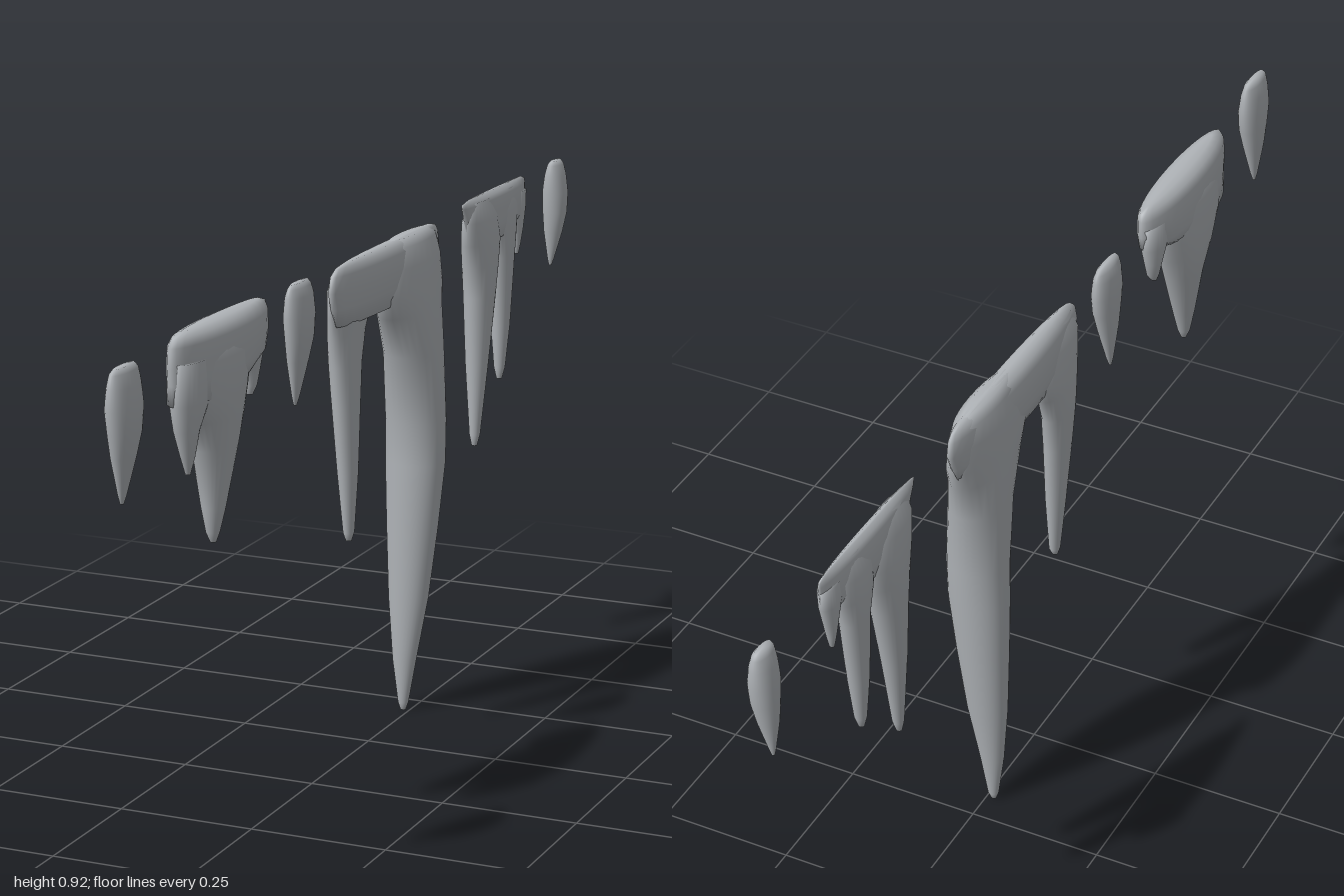
import * as THREE from 'three';

const ice = new THREE.MeshStandardMaterial({ color: 0xb0b4b8 });
ice.name = 'ice grey';
const SIDES = 14;

// Closed loft through oval rings, bottom to top; each ring is [y, zMin, zMax, xMin, xMax]
function loft(name, rings) {
  const pos = [], index = [], last = rings.length - 1;
  for (const [y, z0, z1, x0, x1] of rings) {
    for (let i = 0; i < SIDES * 2; i++) {
      const a = (i / SIDES) * Math.PI;
      pos.push((x0 + x1) / 2 + ((x1 - x0) / 2) * Math.cos(a), y, (z0 + z1) / 2 + ((z1 - z0) / 2) * Math.sin(a));
    }
  }
  const n = SIDES * 2;
  for (const j of [0, last]) {
    const [y, z0, z1, x0, x1] = rings[j];
    pos.push((x0 + x1) / 2, y, (z0 + z1) / 2);
  }
  const low = n * rings.length, high = low + 1;
  for (let i = 0; i < n; i++) {
    const k = (i + 1) % n;
    for (let j = 0; j < last; j++) {
      const a = j * n + i, b = j * n + k;
      index.push(a, a + n, b, b, a + n, b + n);
    }
    index.push(low, i, k, high, last * n + k, last * n + i);
  }
  const g = new THREE.BufferGeometry();
  g.setAttribute('position', new THREE.Float32BufferAttribute(pos, 3));
  g.setIndex(index);
  g.computeVertexNormals();
  const mesh = new THREE.Mesh(g, ice);
  mesh.name = name;
  return mesh;
}

// Short single icicle: z range, tip z, x centre and half thickness
function smallIcicle(name, z0, z1, tipZ, x, r, tipY, topY) {
  const mix = (t) => [tipZ + (z0 - tipZ) * t, tipZ + (z1 - tipZ) * t];
  const ring = (y, t, s, dx = 0) => [y, ...mix(t), x + dx - r * s, x + dx + r * s];
  return loft(name, [
    ring(tipY, 0.07, 0.12, -0.008), ring(tipY + 0.015, 0.18, 0.28, -0.007), ring(0.77, 0.6, 0.75, -0.003),
    ring(0.81, 0.82, 0.97), ring(0.85, 1, 1), ring(0.885, 0.98, 0.8), ring(topY - 0.008, 0.9, 0.55), ring(topY, 0.72, 0.3),
  ]);
}

function cluster(name, parts) {
  const g = new THREE.Group();
  g.name = name;
  for (const [part, rings] of Object.entries(parts)) g.add(loft(part, rings));
  return g;
}

export function createModel() {
  const model = new THREE.Group();
  model.name = 'icicles';

  // Single icicles
  model.add(
    smallIcicle('frontIcicle', 0.905, 1.0, 0.95, 0.005, 0.025, 0.692, 0.915),
    smallIcicle('middleIcicle', 0.21, 0.302, 0.258, -0.017, 0.023, 0.69, 0.908),
    smallIcicle('backIcicle', -1.0, -0.938, -0.967, -0.016, 0.025, 0.7, 0.914),
  );

  // Large centre cluster
  model.add(cluster('centreCluster', {
    root: [
      [0.797, -0.31, 0.112, -0.034, 0.01], [0.83, -0.33, 0.127, -0.042, 0.018], [0.862, -0.342, 0.14, -0.042, 0.02],
      [0.89, -0.338, 0.133, -0.038, 0.016], [0.902, -0.328, 0.118, -0.028, 0.008], [0.908, -0.3, 0.08, -0.018, 0],
    ],
    longIcicle: [
      [0, -0.196, -0.188, -0.018, -0.008], [0.015, -0.203, -0.183, -0.023, -0.003], [0.1, -0.213, -0.174, -0.034, 0.012],
      [0.22, -0.232, -0.17, -0.045, 0.032], [0.36, -0.248, -0.166, -0.051, 0.048], [0.48, -0.26, -0.164, -0.055, 0.059],
      [0.56, -0.266, -0.162, -0.055, 0.059], [0.69, -0.278, -0.135, -0.053, 0.053], [0.77, -0.302, -0.09, -0.05, 0.043],
      [0.81, -0.318, -0.06, -0.047, 0.038], [0.86, -0.32, -0.07, -0.044, 0.03], [0.895, -0.31, -0.09, -0.036, 0.02],
      [0.908, -0.28, -0.12, -0.024, 0.006],
    ],
    shortIcicle: [
      [0.395, 0.05, 0.06, -0.02, -0.009], [0.41, 0.041, 0.066, -0.025, -0.005], [0.52, 0.031, 0.079, -0.034, 0.002],
      [0.645, 0.018, 0.091, -0.043, 0.004], [0.72, 0.006, 0.098, -0.048, 0.004], [0.775, -0.014, 0.107, -0.048, 0.004],
      [0.81, -0.04, 0.117, -0.045, 0.004], [0.86, -0.02, 0.125, -0.04, 0.004], [0.898, 0, 0.11, -0.026, 0],
    ],
  }));

  // Front cluster, one broad spike between two stubs
  model.add(cluster('frontCluster', {
    root: [
      [0.8, 0.505, 0.752, -0.05, 0.024], [0.835, 0.42, 0.757, -0.05, 0.027], [0.865, 0.412, 0.76, -0.05, 0.028],
      [0.898, 0.412, 0.76, -0.046, 0.026], [0.912, 0.418, 0.752, -0.036, 0.018], [0.918, 0.44, 0.72, -0.022, 0.004],
    ],
    broadSpike: [
      [0.538, 0.599, 0.609, -0.021, -0.01], [0.555, 0.591, 0.616, -0.028, -0.004], [0.6, 0.578, 0.626, -0.036, 0.006],
      [0.7, 0.542, 0.642, -0.052, 0.02], [0.755, 0.518, 0.678, -0.059, 0.027], [0.8, 0.5, 0.72, -0.056, 0.03],
      [0.86, 0.49, 0.72, -0.052, 0.03], [0.905, 0.52, 0.7, -0.04, 0.02],
    ],
    outerStub: [
      [0.68, 0.706, 0.714, -0.012, -0.003], [0.71, 0.697, 0.725, -0.019, 0.005], [0.755, 0.688, 0.742, -0.027, 0.014],
      [0.8, 0.65, 0.752, -0.034, 0.02], [0.87, 0.65, 0.756, -0.034, 0.02],
    ],
    innerStub: [
      [0.755, 0.45, 0.459, -0.024, -0.012], [0.77, 0.437, 0.463, -0.03, -0.007], [0.8, 0.429, 0.468, -0.036, -0.002],
      [0.835, 0.418, 0.49, -0.04, 0.004], [0.88, 0.415, 0.5, -0.036, 0.002],
    ],
  }));

  // Back cluster, two slim spikes and a stub
  model.add(cluster('backCluster', {
    root: [
      [0.822, -0.715, -0.505, -0.028, 0.002], [0.85, -0.782, -0.495, -0.032, 0.004], [0.88, -0.788, -0.485, -0.032, 0.004],
      [0.902, -0.789, -0.47, -0.028, 0.002], [0.91, -0.788, -0.467, -0.023, -0.003], [0.916, -0.77, -0.5, -0.016, -0.01],
    ],
    firstSpike: [
      [0.428, -0.548, -0.538, -0.02, -0.009], [0.45, -0.556, -0.534, -0.025, -0.004], [0.59, -0.579, -0.529, -0.037, 0.007],
      [0.72, -0.607, -0.524, -0.045, 0.014], [0.78, -0.623, -0.515, -0.047, 0.016], [0.825, -0.638, -0.5, -0.045, 0.015],
      [0.87, -0.63, -0.49, -0.038, 0.01], [0.907, -0.61, -0.5, -0.024, 0],
    ],
    secondSpike: [
      [0.533, -0.675, -0.665, -0.02, -0.009], [0.555, -0.684, -0.661, -0.026, -0.004], [0.64, -0.697, -0.655, -0.034, 0.003],
      [0.775, -0.717, -0.649, -0.04, 0.007], [0.825, -0.73, -0.632, -0.041, 0.008], [0.87, -0.74, -0.63, -0.037, 0.006],
      [0.908, -0.73, -0.64, -0.024, -0.002],
    ],
    stub: [
      [0.765, -0.761, -0.753, -0.02, -0.011], [0.785, -0.766, -0.749, -0.024, -0.007], [0.815, -0.773, -0.743, -0.028, -0.003],
      [0.855, -0.785, -0.73, -0.031, 0], [0.89, -0.787, -0.73, -0.028, 0],
    ],
  }));

  return model;
}
